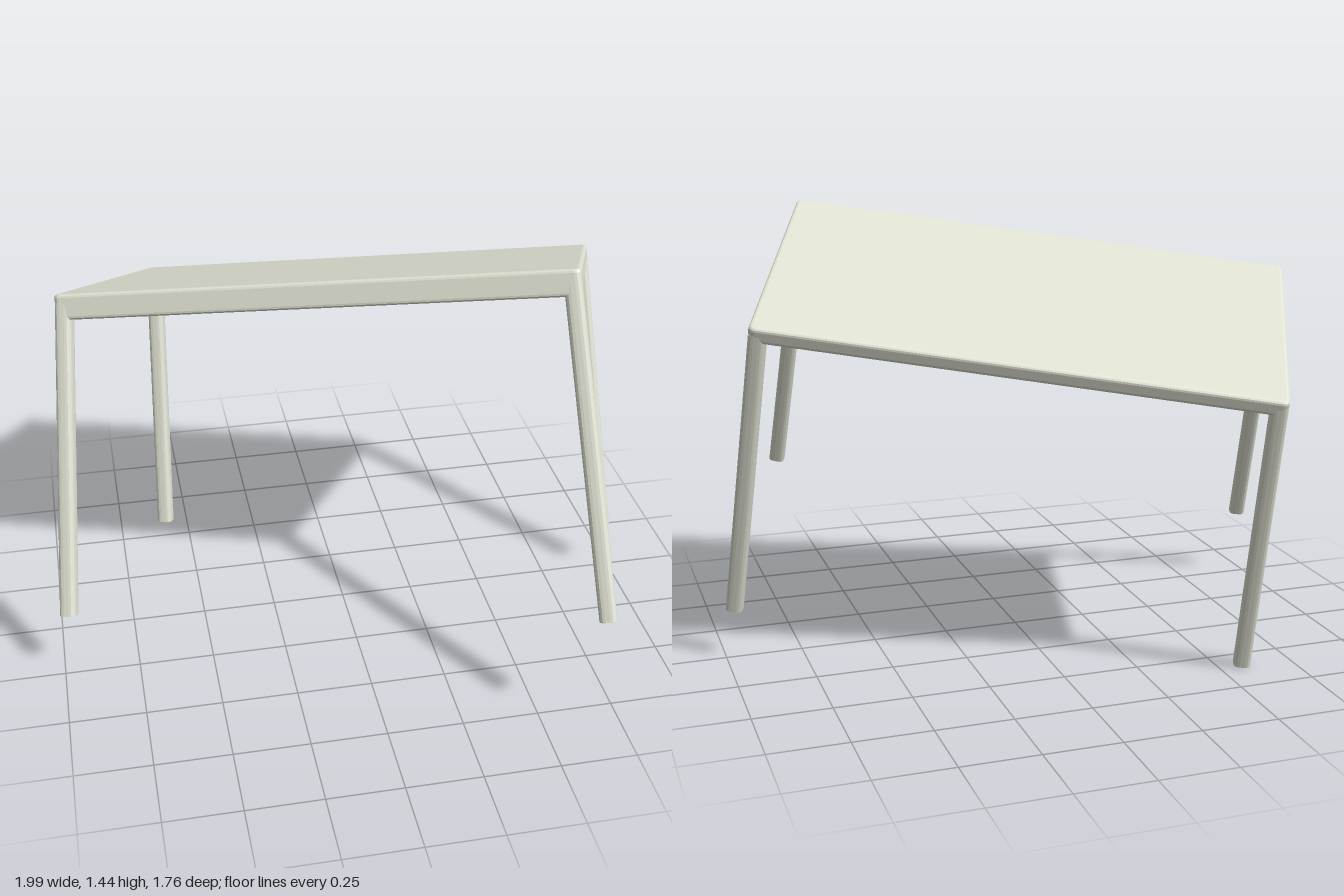
import * as THREE from 'three';

const W = 1.64, D = 0.89, T = 0.068, BEVEL = 0.012, LEG = 0.055;

// rounded rectangle centred on the origin
function roundedRect(w, d, r) {
  const x = w / 2, y = d / 2;
  const shape = new THREE.Shape();
  shape.moveTo(-x + r, -y);
  shape.lineTo(x - r, -y);
  shape.quadraticCurveTo(x, -y, x, -y + r);
  shape.lineTo(x, y - r);
  shape.quadraticCurveTo(x, y, x - r, y);
  shape.lineTo(-x + r, y);
  shape.quadraticCurveTo(-x, y, -x, y - r);
  shape.lineTo(-x, -y + r);
  shape.quadraticCurveTo(-x, -y, -x + r, -y);
  return shape;
}

// the top is a little longer at the front
const widen = (z) => 1 + 0.04 * z;

// lay a plate flat with its upper face at the given height, thicker towards the front
function layFlat(geometry, height) {
  geometry.rotateX(Math.PI / 2).translate(0, height, 0);
  const p = geometry.attributes.position;
  for (let i = 0; i < p.count; i++) {
    const z = p.getZ(i);
    p.setX(i, p.getX(i) * widen(z));
    if (p.getY(i) < -T / 2) p.setY(i, p.getY(i) - 0.036 * z);
  }
  geometry.computeVertexNormals();
  return geometry;
}

export function createModel() {
  const model = new THREE.Group();
  const paint = new THREE.MeshStandardMaterial({ color: 0xe0e3d3 });
  paint.name = 'palePaint';
  const black = new THREE.MeshStandardMaterial({ color: 0x030303 });
  black.name = 'blackUnderside';

  const add = (parent, name, geometry, material) => {
    const mesh = new THREE.Mesh(geometry, material);
    mesh.name = name;
    parent.add(mesh);
    return mesh;
  };

  // tilted frame of the table: u along the length, n out of the top
  const u = new THREE.Vector3(1.505, 0.215, 0.57).normalize();
  const depth = new THREE.Vector3(-0.335, 0.285, 0.76).normalize();
  const n = new THREE.Vector3().crossVectors(depth, u).normalize();
  const w = new THREE.Vector3().crossVectors(u, n);
  const frame = new THREE.Matrix4().makeBasis(u, n, w).setPosition(0.023, 1.193, -0.22);

  const top = new THREE.Group();
  top.name = 'tabletop';
  frame.decompose(top.position, top.quaternion, top.scale);
  model.add(top);

  // wedge-shaped slab with softened edges
  const slab = new THREE.ExtrudeGeometry(roundedRect(W - 2 * BEVEL, D - 2 * BEVEL, 0.01), {
    depth: T - 2 * BEVEL, bevelThickness: BEVEL, bevelSize: BEVEL, bevelSegments: 3, curveSegments: 4,
  });
  add(top, 'slab', layFlat(slab, -BEVEL), paint);

  // dark panel on the underside
  const panel = new THREE.ExtrudeGeometry(roundedRect(W - 0.13, D - 0.12, 0.08), {
    depth: 0.005, bevelEnabled: false, curveSegments: 6,
  });
  add(top, 'undersidePanel', layFlat(panel, -T + 0.002), black);

  // four slightly splayed legs: corner signs and foot centre
  const legs = [
    ['frontRightLeg', -1, 1, -0.967, 0.243, 0.25],
    ['frontLeftLeg', 1, 1, 0.667, 0.434, 0.853],
    ['backLeftLeg', 1, -1, 0.967, 0.174, -0.007],
    ['backRightLeg', -1, -1, -0.58, 0.008, -0.59],
  ];
  for (const [name, sx, sz, ...foot] of legs) {
    const z = sz * (D / 2 - LEG / 2);
    const head = new THREE.Vector3(sx * (W / 2 * widen(z) - LEG / 2), -0.03, z).applyMatrix4(frame);
    const end = new THREE.Vector3(...foot);
    const up = head.clone().sub(end);
    const geometry = new THREE.ExtrudeGeometry(roundedRect(LEG, LEG, 0.02), {
      depth: up.length(), bevelEnabled: false, curveSegments: 4,
    });
    geometry.rotateX(-Math.PI / 2);
    up.normalize();
    const side = u.clone().addScaledVector(up, -u.dot(up)).normalize();
    const leg = add(model, name, geometry, paint);
    leg.quaternion.setFromRotationMatrix(
      new THREE.Matrix4().makeBasis(side, up, new THREE.Vector3().crossVectors(side, up)));
    leg.position.copy(end);
  }
  return model;
}
